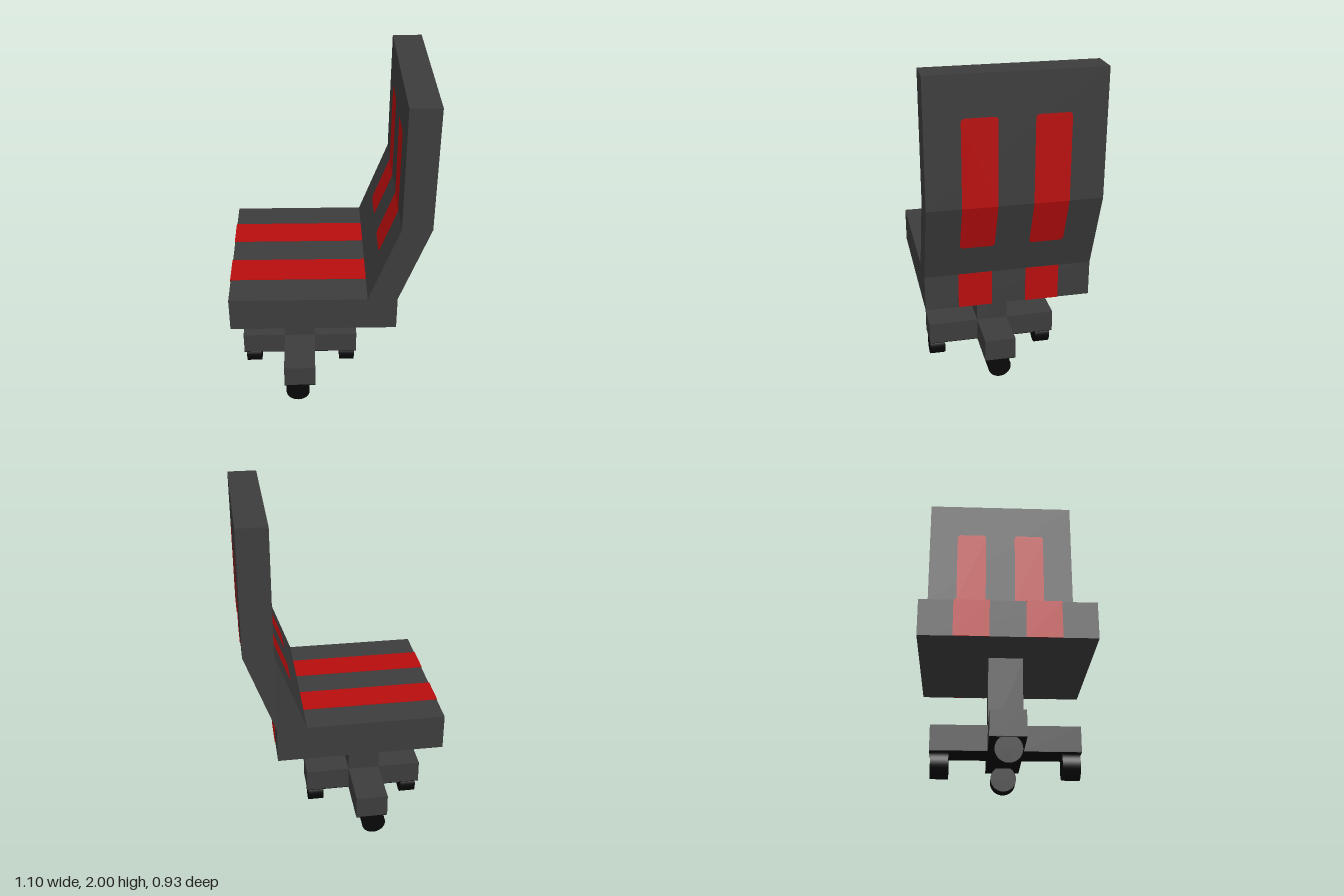
import * as THREE from 'three';

export function createModel() {
  const model = new THREE.Group();
  const grey = new THREE.MeshStandardMaterial({ name: 'charcoal', color: 0x3c3c3c });
  const black = new THREE.MeshStandardMaterial({ name: 'black', color: 0x080808 });
  const red = new THREE.MeshStandardMaterial({ name: 'red', color: 0xb80d0d, side: THREE.DoubleSide });

  const add = (name, geometry, material, x = 0, y = 0, z = 0) => {
    const mesh = new THREE.Mesh(geometry, material);
    mesh.name = name;
    mesh.position.set(x, y, z);
    model.add(mesh);
    return mesh;
  };
  // box given by its minimum and maximum corners
  const box = (name, material, [x0, y0, z0], [x1, y1, z1]) =>
    add(name, new THREE.BoxGeometry(x1 - x0, y1 - y0, z1 - z0), material,
      (x0 + x1) / 2, (y0 + y1) / 2, (z0 + z1) / 2);

  // seat and bent backrest: one side profile extruded across the width
  const halfWidth = 0.466, seatBottom = 0.642, seatTop = 0.845, bend = 1.302;
  const front = -0.548, rear = 0.383, backFace = 0.546, crease = 0.218;
  const profile = new THREE.Shape([
    [front, seatBottom], [rear, seatBottom], [rear, seatTop], [backFace, bend], [backFace, 2],
    [rear, 2], [rear, bend], [crease, seatTop], [front, seatTop],
  ].map(([x, y]) => new THREE.Vector2(x, y)));
  const body = new THREE.ExtrudeGeometry(profile, { depth: 2 * halfWidth, bevelEnabled: false });
  add('seatAndBackrest', body, grey, 0, 0, -halfWidth);

  // half of a backrest stripe: rounded at the end yEnd, square at the bend
  const stripePanel = (name, zMid, yEnd, xAtBend, slope) => {
    const w = 0.094, r = 0.022, d = Math.sign(yEnd - bend);
    const s = new THREE.Shape();
    s.moveTo(-w, bend);
    s.lineTo(w, bend);
    s.lineTo(w, yEnd - d * r);
    s.quadraticCurveTo(w, yEnd, w - r, yEnd);
    s.lineTo(-w + r, yEnd);
    s.quadraticCurveTo(-w, yEnd, -w, yEnd - d * r);
    const g = new THREE.ShapeGeometry(s, 6), p = g.attributes.position;
    for (let i = 0; i < p.count; i++) {
      const z = p.getX(i), y = p.getY(i);
      p.setXYZ(i, xAtBend + slope * (y - bend), y, z);
    }
    g.computeVertexNormals();
    add(name, g, red, 0, 0, zMid);
  };

  const t = 0.003;
  const slope = (rear - crease) / (bend - seatTop);
  for (const zMid of [0.187, -0.19]) {
    const z0 = zMid - 0.094, z1 = zMid + 0.094;
    // seat stripes over the top, front edge and rear edge
    box('seatTopStripe', red, [front, seatTop, z0], [crease, seatTop + t, z1]);
    box('seatFrontStripe', red, [front - t, seatBottom, z0], [front, seatTop + t, z1]);
    box('seatRearStripe', red, [rear, seatBottom, z0], [rear + t, seatTop, z1]);
    // backrest stripes on both faces, following the bend
    for (const [side, x] of [['Inner', rear - t], ['Outer', backFace + t]]) {
      stripePanel(`backrest${side}StripeUpper`, zMid, 1.78, x, 0);
      stripePanel(`backrest${side}StripeLower`, zMid, 1.035, x, slope);
    }
  }

  // post and crossed foot with a black underside
  const cx = -0.167, w = 0.093, y0 = 0.13, y1 = 0.265, armX = 0.352, armZ = 0.393;
  box('post', grey, [cx - w, y0, -w], [cx + w, seatBottom, w]);
  for (const s of [-1, 1]) {
    const along = (a, b) => [Math.min(s * a, s * b), Math.max(s * a, s * b)];
    const [xa, xb] = along(w, armX), [za, zb] = along(w, armZ);
    box('sideArm', grey, [cx + xa, y0, -w], [cx + xb, y1, w]);
    box('crossArm', grey, [cx - w, y0, za], [cx + w, y1, zb]);
    box('sideArmUnderside', black, [cx + xa, y0 - t, -w], [cx + xb, y0, w]);
    box('crossArmUnderside', black, [cx - w, y0 - t, za], [cx + w, y0, zb]);
  }
  box('postUnderside', black, [cx - w, y0 - t, -w], [cx + w, y0, w]);

  // four wheels, each with its axle pointing outwards
  const r = 0.07;
  const wheel = new THREE.CylinderGeometry(r, r, 0.093, 32);
  for (const s of [-1, 1]) {
    add('sideWheel', wheel, black, cx + s * 0.294, r, 0.003).rotation.z = Math.PI / 2;
    add('crossWheel', wheel, black, -0.18, r, s * 0.34).rotation.x = Math.PI / 2;
  }
  return model;
}
